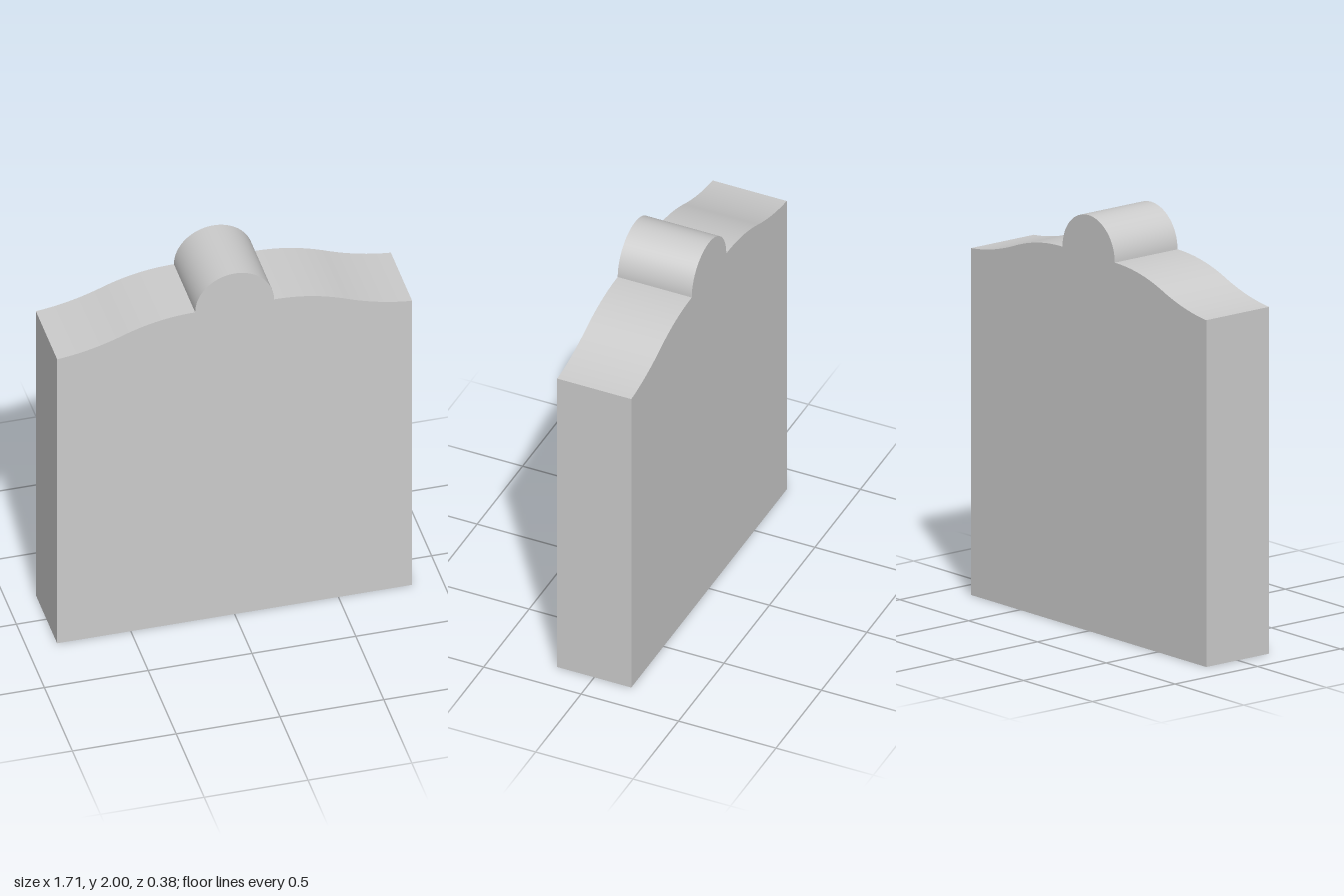
import * as THREE from 'three';
import { toCreasedNormals } from 'three/addons/utils/BufferGeometryUtils.js';

const HALF_WIDTH = 0.855, SHOULDER = 1.668, DEPTH = 0.38;
const KNOB_RADIUS = 0.19, KNOB_Y = 1.81;

export function createModel() {
  const group = new THREE.Group();
  group.name = 'headstone';

  // Outline: straight sides, S-curved shoulders and a half-round crest
  const outline = new THREE.Shape();
  outline.moveTo(-HALF_WIDTH, 0);
  outline.lineTo(HALF_WIDTH, 0);
  outline.lineTo(HALF_WIDTH, SHOULDER);
  outline.bezierCurveTo(0.75, 1.677, 0.64, 1.703, 0.53, 1.747);
  outline.bezierCurveTo(0.42, 1.789, 0.31, 1.81, KNOB_RADIUS, KNOB_Y);
  outline.absarc(0, KNOB_Y, KNOB_RADIUS, 0, Math.PI, false);
  outline.bezierCurveTo(-0.31, 1.81, -0.42, 1.789, -0.53, 1.747);
  outline.bezierCurveTo(-0.64, 1.703, -0.75, 1.677, -HALF_WIDTH, SHOULDER);
  outline.closePath();

  // Slab: the outline given thickness, with crisp edges and smooth curves
  const geometry = new THREE.ExtrudeGeometry(outline, {
    depth: DEPTH, bevelEnabled: false, curveSegments: 24,
  });
  geometry.translate(0, 0, -DEPTH / 2);
  const slab = new THREE.Mesh(
    toCreasedNormals(geometry, Math.PI / 6),
    new THREE.MeshStandardMaterial({ color: 0xcccccc }),
  );
  slab.name = 'slab';
  group.add(slab);
  return group;
}
